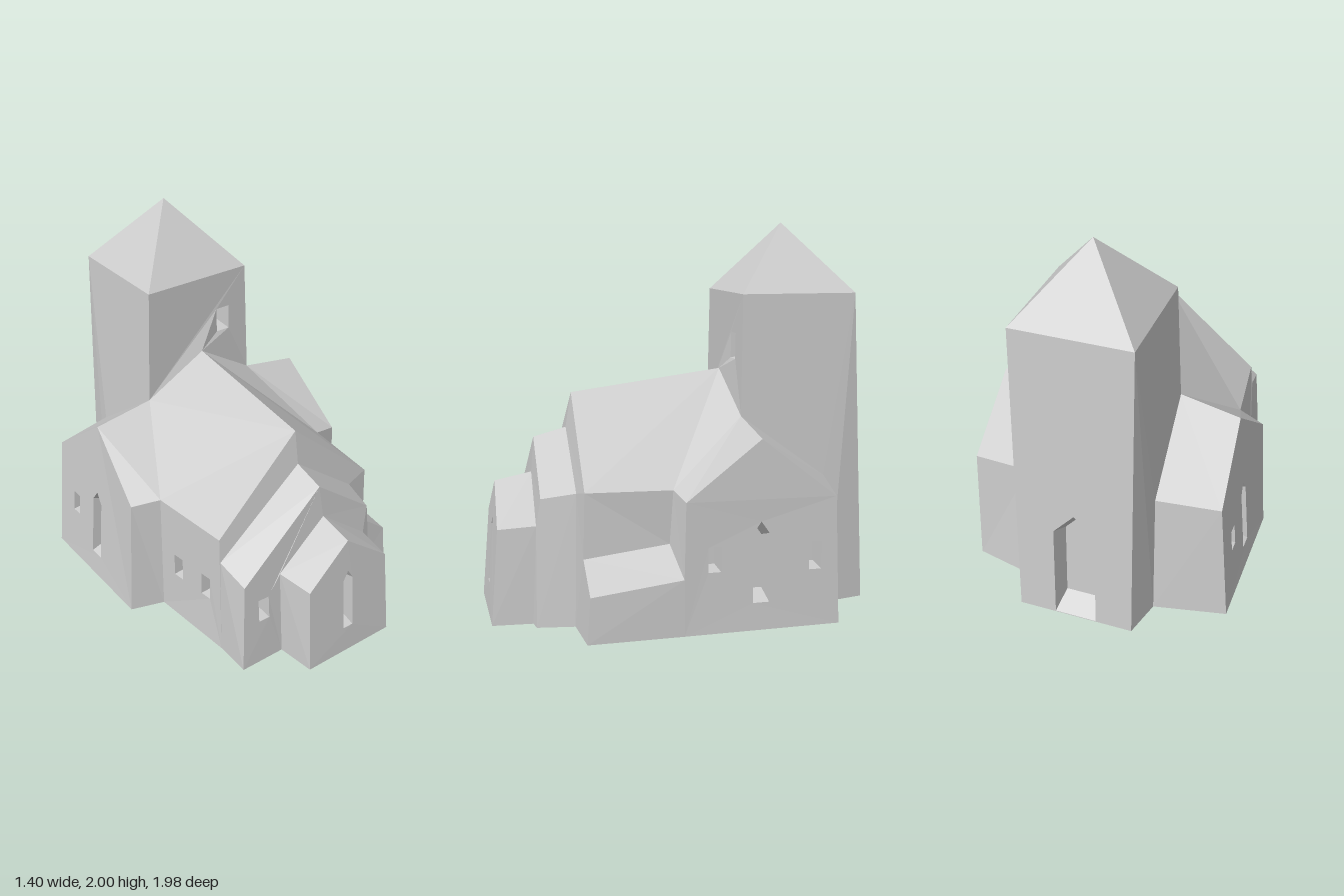
import * as THREE from 'three';

const material = new THREE.MeshStandardMaterial({ color: 0xcccccc, side: THREE.DoubleSide });
const PLANE_AXES = [[2, 1], [0, 2], [0, 1]]; // in-plane axes for faces looking along x, y, z

// Window outlines in the plane of a wall: u across, y up
const square = (u, y0, y1, w = 0.032) => [[u - w, y0], [u + w, y0], [u + w, y1], [u - w, y1]];
const lancet = (u, y0, spring, peak, w) => [[u - w, y0], [u + w, y0], [u + w, spring], [u, peak], [u - w, spring]];

// One flat face facing sign * axis, with tapered recesses for its openings
function face(name, points, axis, sign, openings = [], depth = 0.1) {
  const [a, b] = PLANE_AXES[axis];
  const corners = points.map((p) => new THREE.Vector3(...p));
  const plane = new THREE.Plane().setFromCoplanarPoints(corners[0], corners[1], corners[2]);
  const lift = ([u, v], inset = 0) => {
    const p = new THREE.Vector3().setComponent(a, u).setComponent(b, v);
    p.setComponent(axis, -plane.distanceToPoint(p) / plane.normal.getComponent(axis) - sign * inset);
    return p;
  };
  const flat = (p) => new THREE.Vector2(p.getComponent(a), p.getComponent(b));
  const pos = [];
  const add = (p, q, r) => {
    const n = q.clone().sub(p).cross(r.clone().sub(p));
    const order = n.getComponent(axis) * sign < 0 ? [p, r, q] : [p, q, r];
    order.forEach((v) => pos.push(v.x, v.y, v.z));
  };
  const fill = (outline, holes) => {
    const oriented = (ring) => (THREE.ShapeUtils.isClockWise(ring.map(flat)) ? ring.slice().reverse() : ring);
    const outer = oriented(outline);
    const inner = holes.map((h) => oriented(h).slice().reverse());
    const all = [outer, ...inner].flat();
    THREE.ShapeUtils.triangulateShape(outer.map(flat), inner.map((h) => h.map(flat)))
      .forEach(([i, j, k]) => add(all[i], all[j], all[k]));
  };
  const rims = openings.map((o) => o.map((p) => lift(p)));
  fill(corners, rims);
  openings.forEach((o, k) => {
    const mid = [0, 1].map((i) => (Math.min(...o.map((p) => p[i])) + Math.max(...o.map((p) => p[i]))) / 2);
    const back = o.map((p) => lift(p.map((v, i) => mid[i] + (v - mid[i]) * 0.78), depth));
    back.forEach((_, i) => {
      const j = (i + 1) % back.length;
      add(rims[k][i], rims[k][j], back[j]);
      add(rims[k][i], back[j], back[i]);
    });
    fill(back, []);
  });
  const geometry = new THREE.BufferGeometry();
  geometry.setAttribute('position', new THREE.Float32BufferAttribute(pos, 3));
  geometry.computeVertexNormals();
  const mesh = new THREE.Mesh(geometry, material);
  mesh.name = name;
  return mesh;
}

function part(name, ...meshes) {
  const group = new THREE.Group();
  group.name = name;
  group.add(...meshes);
  return group;
}

// Walls and roof slopes between two five-point gable profiles
function gableSides(f, b) {
  const spec = [['rightWall', 0, -1], ['rightRoof', 1, 1], ['leftRoof', 1, 1], ['leftWall', 0, 1]];
  return spec.map(([name, axis, sign], i) => face(name, [f[i], f[i + 1], b[i + 1], b[i]], axis, sign));
}

export function createModel() {
  // Gable profiles: wall foot, eave, ridge, eave, wall foot
  const porchFront = [[-0.215, 0, 0.995], [-0.206, 0.476, 0.957], [0.04, 0.683, 0.942], [0.296, 0.487, 0.957], [0.32, 0, 0.995]];
  const porchBack = [[-0.24, 0, 0.795], [-0.243, 0.492, 0.765], [0.04, 0.72, 0.752], [0.317, 0.5, 0.765], [0.337, 0, 0.79]];
  const choirFront = [[-0.49, 0, 0.795], [-0.46, 0.5, 0.758], [0.02, 0.9, 0.735], [0.35, 0.645, 0.745], [0.4, 0, 0.78]];
  const choirBack = [[-0.487, 0, 0.6], [-0.478, 0.555, 0.58], [0.02, 0.945, 0.565], [0.38, 0.67, 0.57], [0.43, 0, 0.59]];

  // Shared corners of nave, aisle, transepts and tower
  const ridgeFront = [0.02, 1.127, 0.535], ridgeBack = [0.02, 1.23, -0.268];
  const eaveR = [-0.47, 0.68, 0.56], eaveL = [0.508, 0.7, 0.55];
  const aisle = {
    topFront: [0.513, 0.37, 0.56], topBack: [0.53, 0.425, 0.13],
    lowFront: [0.685, 0.23, 0.557], lowBack: [0.69, 0.285, 0.095], foot: [0.695, 0, 0.575],
  };
  const right = {
    s: -1, valley: [-0.525, 0.69, 0.115], valleyFoot: [-0.53, 0, 0.12],
    ridgeIn: [-0.31, 1.02, -0.298], ridgeOut: [-0.63, 0.96, -0.315],
    frontEave: [-0.668, 0.67, 0.055], frontFoot: [-0.708, 0, 0.065],
    backEave: [-0.655, 0.67, -0.7], backFoot: [-0.708, 0, -0.715],
    towerEave: [-0.33, 0.69, -0.755], towerFoot: [-0.335, 0, -0.79],
    towerBack: [-0.285, 0, -0.988], towerTopF: [-0.285, 1.64, -0.302], towerTopB: [-0.285, 1.64, -0.91],
    windows: [square(-0.53, 0.3, 0.42), lancet(-0.31, 0.14, 0.49, 0.55, 0.042)],
  };
  const left = {
    s: 1, valley: [0.545, 0.7, 0.115],
    ridgeIn: [0.345, 1.02, -0.292], ridgeOut: [0.668, 0.96, -0.3],
    frontEave: [0.683, 0.667, 0.085],
    backEave: [0.675, 0.656, -0.69], backFoot: [0.69, 0, -0.71],
    towerEave: [0.355, 0.69, -0.745], towerFoot: [0.37, 0, -0.785],
    towerBack: [0.325, 0, -0.988], towerTopF: [0.33, 1.64, -0.302], towerTopB: [0.33, 1.64, -0.91],
    windows: [square(-0.06, 0.31, 0.435), lancet(-0.298, 0.14, 0.49, 0.55, 0.042), square(-0.58, 0.29, 0.43)],
  };
  const apex = [0.02, 2, -0.605];

  const porch = part('porch', ...gableSides(porchFront, porchBack),
    face('frontGable', porchFront, 2, 1, [lancet(0.043, 0.15, 0.45, 0.5, 0.03)]));

  const choir = part('choir', ...gableSides(choirFront, choirBack),
    face('frontGable', [...choirFront, ...porchBack.slice().reverse()], 2, 1, [square(-0.347, 0.255, 0.385)]));

  const nave = part('nave',
    face('frontGable', [choirBack[1], eaveR, ridgeFront, eaveL, aisle.topFront, aisle.lowFront, aisle.foot,
      choirBack[4], choirBack[3], choirBack[2]], 2, 1),
    face('rightWall', [right.valleyFoot, right.valley, eaveR, choirBack[1], choirBack[0]], 0, -1,
      [square(0.25, 0.26, 0.39), square(0.46, 0.26, 0.39)]),
    face('leftWall', [eaveL, left.valley, aisle.topBack, aisle.topFront], 0, 1),
    face('rightRoof', [ridgeFront, eaveR, right.valley, right.ridgeIn, ridgeBack], 1, 1),
    face('leftRoof', [ridgeFront, eaveL, left.valley, left.ridgeIn, ridgeBack], 1, 1));

  const sideAisle = part('sideAisle',
    face('aisleRoof', [aisle.topFront, aisle.topBack, aisle.lowBack, aisle.lowFront], 1, 1),
    face('aisleWall', [aisle.lowFront, aisle.foot, [0.695, 0, 0.095], aisle.lowBack], 0, 1));

  // Transepts: mirrored roofs and walls; the left one meets the aisle
  const transepts = [right, left].map((t) => part(t.s < 0 ? 'rightTransept' : 'leftTransept',
    face('frontRoof', [t.ridgeIn, t.ridgeOut, t.frontEave, t.valley], 1, 1),
    face('backRoof', [t.ridgeIn, t.ridgeOut, t.backEave, t.towerEave], 1, 1),
    face('frontWall', t.s < 0 ? [t.valley, t.valleyFoot, t.frontFoot, t.frontEave]
      : [t.valley, aisle.topBack, aisle.lowBack, t.frontEave], 2, 1),
    face('backWall', [t.backEave, t.backFoot, t.towerFoot, t.towerEave], 2, -1),
    face('gableWall', [t.ridgeOut, t.backEave, t.backFoot,
      ...(t.s < 0 ? [t.frontFoot] : [[0.695, 0, 0.095], aisle.lowBack]), t.frontEave], 0, t.s, t.windows)));

  const tower = part('tower',
    face('frontWall', [right.towerTopF, left.towerTopF, left.ridgeIn, ridgeBack, right.ridgeIn], 2, 1,
      [square(0.18, 1.3, 1.435, 0.04)]),
    face('backWall', [right.towerBack, right.towerTopB, left.towerTopB, left.towerBack], 2, -1,
      [lancet(0.02, 0.004, 0.53, 0.65, 0.11)]),
    ...[right, left].map((t) => face('sideWall',
      [t.towerTopF, t.towerTopB, t.towerBack, t.towerFoot, t.towerEave, t.ridgeIn], 0, t.s)));

  const towerRoof = part('towerRoof',
    face('frontSlope', [right.towerTopF, left.towerTopF, apex], 2, 1),
    face('backSlope', [right.towerTopB, left.towerTopB, apex], 2, -1),
    ...[right, left].map((t) => face('sideSlope', [t.towerTopF, t.towerTopB, apex], 0, t.s)));

  return part('church', porch, choir, nave, sideAisle, ...transepts, tower, towerRoof);
}
